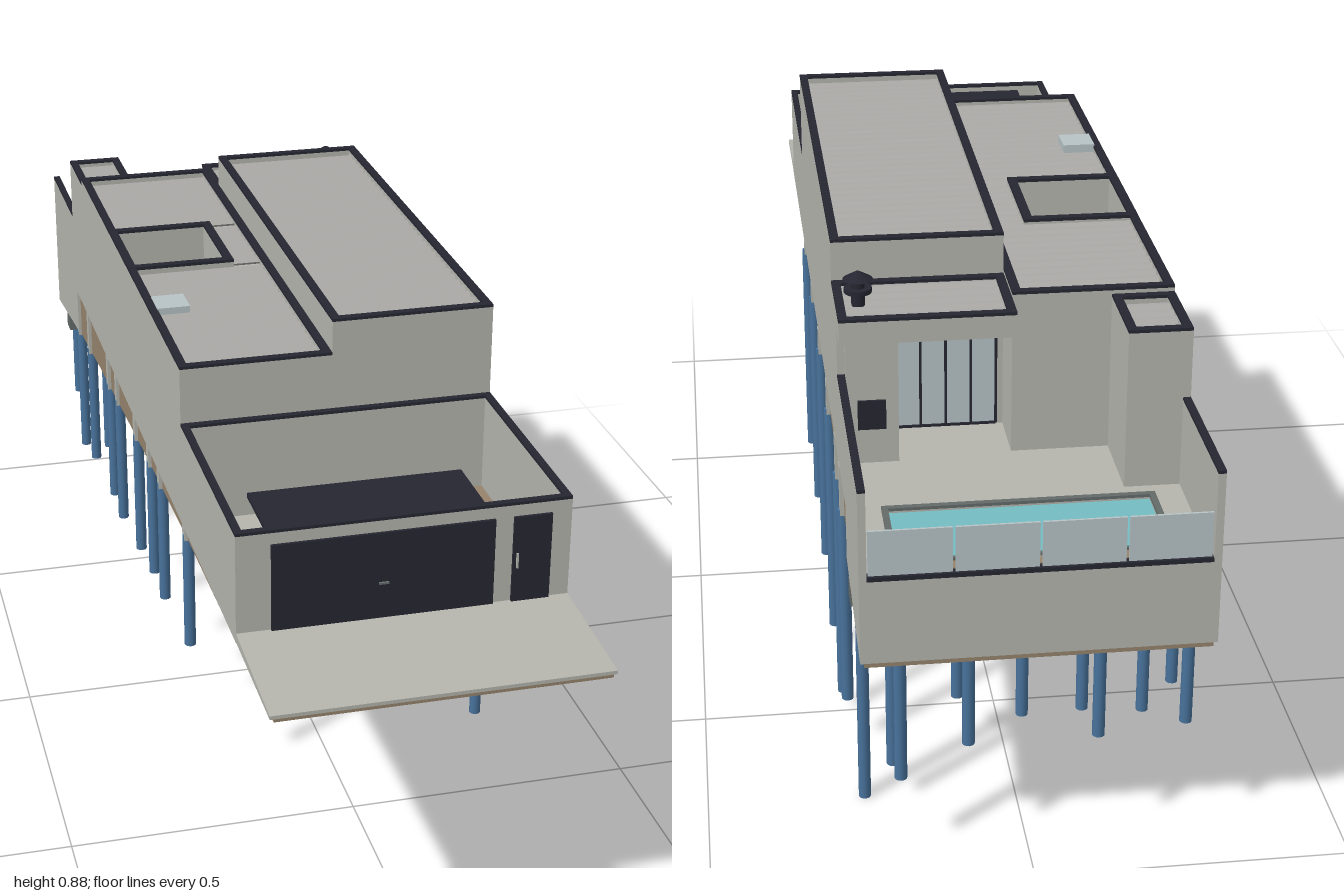
import * as THREE from 'three';

const mat = (name, color, side = THREE.FrontSide) => {
  const m = new THREE.MeshStandardMaterial({ color, side });
  m.name = name;
  return m;
};

export function createModel() {
  const model = new THREE.Group();
  model.name = 'hillsideHouse';
  const wall = mat('wallGrey', 0xb5b5ae);
  const dark = mat('darkTrim', 0x262632);
  const earth = mat('earthBrown', 0x96836c);
  const steel = mat('pileBlue', 0x48729b);
  const concrete = mat('capGrey', 0x636b69);
  const sheet = mat('roofSheet', 0xaaa9a6, THREE.DoubleSide);
  const water = mat('poolWater', 0x74bcc2);
  const glass = mat('paleGlass', 0xb6c3c6);

  const add = (name, geo, m) => {
    const mesh = new THREE.Mesh(geo, m);
    mesh.name = name;
    model.add(mesh);
    return mesh;
  };
  const box = (name, m, x0, x1, y0, y1, z0, z1) =>
    add(name, new THREE.BoxGeometry(x1 - x0, y1 - y0, z1 - z0)
      .translate((x0 + x1) / 2, (y0 + y1) / 2, (z0 + z1) / 2), m);

  const rectPath = (Kind, x0, x1, z0, z1) => new Kind([
    [x0, -z1], [x1, -z1], [x1, -z0], [x0, -z0]].map(p => new THREE.Vector2(...p)));

  // Upright block with a rectangular plan and rectangular holes
  const prism = (name, m, [x0, x1, z0, z1], y0, y1, holes = []) => {
    const s = rectPath(THREE.Shape, x0, x1, z0, z1);
    s.holes = holes.map(h => rectPath(THREE.Path, ...h));
    const g = new THREE.ExtrudeGeometry(s, { depth: y1 - y0, bevelEnabled: false });
    return add(name, g.rotateX(-Math.PI / 2).translate(0, y0, 0), m);
  };

  // Side profile in (z, y), extruded across the width
  const profile = (name, m, pts, x0, x1) => {
    const s = new THREE.Shape(pts.map(([z, y]) => new THREE.Vector2(-z, y)));
    const g = new THREE.ExtrudeGeometry(s, { depth: x1 - x0, bevelEnabled: false });
    return add(name, g.rotateY(Math.PI / 2).translate(x0, 0, 0), m);
  };

  // Parapet ring with a dark coping
  const parapet = (name, r, y0, y1, t = 0.014) => {
    const hole = [[r[0] + t, r[1] - t, r[2] + t, r[3] - t]];
    prism(name, wall, r, y0, y1 - 0.005, hole);
    prism(name + 'Coping', dark, r, y1 - 0.005, y1, hole);
  };

  // Ribbed metal roofing, ribs running across the width
  const ribbed = (name, x0, x1, z0, z1, y) => {
    const n = Math.round((z1 - z0) / 0.007);
    let g = new THREE.PlaneGeometry(x1 - x0, z1 - z0, 1, n).rotateX(-Math.PI / 2);
    const p = g.attributes.position;
    for (let i = 0; i < p.count; i++) p.setY(i, (Math.floor(i / 2) % 4) < 2 ? 0 : 0.006);
    g = g.toNonIndexed();
    g.computeVertexNormals();
    add(name, g.translate((x0 + x1) / 2, y, (z0 + z1) / 2), sheet);
  };

  const L = -0.27, R = 0.265, M = -0.012, F = 0.54;

  // Sloping ground under the house, and the driveway
  const slope = [[1, 0.52], [0.4, 0.506], [0, 0.486], [-0.5, 0.45], [-0.74, 0.428], [-0.998, 0.395]];
  profile('ground', earth, [[-0.998, 0.53], [0.78, 0.53], [1, 0.525], ...slope], L + 0.006, R - 0.006);
  profile('driveway', wall, [[0.78, 0.545], [0.78, 0.53], [1, 0.525], [1, 0.531]], L, R);
  prism('floorSlab', wall, [L, R, -0.74, 0.78], 0.528, F);

  // Lower left wing with its light court
  const court = [-0.255, -0.09, -0.28, -0.1];
  const courtRim = [L, -0.075, -0.295, -0.085];
  prism('leftWing', wall, [L, M, -0.605, 0.375], F, 0.8, [court]);
  parapet('leftParapet', [L, M, -0.605, 0.375], 0.8, 0.817);
  prism('courtRim', wall, courtRim, 0.8, 0.812, [court]);
  prism('courtCoping', dark, courtRim, 0.812, 0.8175, [court]);
  box('courtFloor', earth, court[0], court[1], F, F + 0.006, court[2], court[3]);
  ribbed('leftRoofBack', L + 0.014, M, -0.591, -0.295, 0.802);
  ribbed('leftRoofMiddle', -0.075, M, -0.295, -0.085, 0.802);
  ribbed('leftRoofFront', L + 0.014, M, -0.085, 0.361, 0.802);
  box('skylight', glass, -0.257, -0.2, 0.8, 0.82, 0.065, 0.125);

  // Taller right wing
  prism('rightWing', wall, [M, R, -0.5, 0.375], F, 0.858);
  parapet('rightParapet', [M, R, -0.5, 0.375], 0.858, 0.876);
  ribbed('rightRoof', M + 0.014, R - 0.014, -0.486, 0.361, 0.86);

  // Rear canopy, side wall, hearth column and chimney
  prism('canopy', wall, [M, R, -0.662, -0.5], 0.765, 0.794);
  parapet('canopyParapet', [M, R, -0.662, -0.5], 0.794, 0.807);
  ribbed('canopyRoof', M + 0.014, R - 0.014, -0.648, -0.514, 0.795);
  box('canopySideWall', wall, R - 0.012, R, F, 0.765, -0.605, -0.5);
  box('hearthColumn', wall, 0.17, R - 0.012, F, 0.765, -0.62, -0.54);
  box('hearthOpening', dark, 0.19, 0.235, 0.6, 0.65, -0.624, -0.62);
  const flue = (name, r0, r1, h, y) =>
    add(name, new THREE.CylinderGeometry(r0, r1, h, 16).translate(0.228, y, -0.578), dark);
  flue('chimneyPipe', 0.011, 0.011, 0.045, 0.815);
  flue('chimneyCollar', 0.022, 0.022, 0.008, 0.822);
  flue('chimneyCap', 0.004, 0.024, 0.012, 0.846);

  // Small rear store on the right-hand side of the terrace
  prism('rearStore', wall, [L, -0.17, -0.75, -0.605], F, 0.79);
  parapet('storeParapet', [L, -0.17, -0.75, -0.605], 0.79, 0.806);
  ribbed('storeRoof', L + 0.014, -0.184, -0.736, -0.619, 0.793);

  // Glazed doors: panes with dark uprights and rails
  const glazing = (name, x0, x1, y0, y1, z, dir, panes) => {
    const zs = (a, b) => (dir > 0 ? [z + a, z + b] : [z - b, z - a]);
    box(name, glass, x0, x1, y0, y1, ...zs(0, 0.004));
    for (let i = 0; i <= panes; i++) {
      const x = x0 + (x1 - x0) * i / panes;
      box(name + 'Upright', dark, x - 0.002, x + 0.002, y0, y1, ...zs(0, 0.007));
    }
    for (const y of [y0, y1]) box(name + 'Rail', dark, x0, x1, y - 0.002, y + 0.002, ...zs(0, 0.007));
  };
  glazing('terraceDoors', 0, 0.165, F + 0.004, 0.755, -0.5, -1, 4);
  glazing('entryDoors', 0.035, 0.21, F + 0.004, 0.695, 0.375, 1, 4);
  box('frontWindow', dark, -0.22, -0.11, 0.595, 0.685, 0.375, 0.381);

  // Walled front yard with garage door, gate, planters and carport cover
  parapet('yardWall', [L, R, 0.375, 0.78], F, 0.716, 0.012);
  box('garageDoor', dark, -0.215, 0.14, 0.545, 0.692, 0.78, 0.785);
  box('garageHandle', concrete, -0.046, -0.03, 0.605, 0.608, 0.785, 0.789);
  box('entryGate', dark, 0.17, 0.232, 0.545, 0.692, 0.78, 0.785);
  box('gateHandle', wall, 0.175, 0.178, 0.605, 0.63, 0.785, 0.789);
  box('carportCover', dark, -0.215, 0.135, 0.694, 0.702, 0.622, 0.768);
  for (const [a, b] of [[L + 0.012, -0.22], [0.21, R - 0.012]])
    box('planter', earth, a, b, F, F + 0.006, 0.3751, 0.695);

  // Rear terrace block with pool
  profile('terraceBlock', wall, [[-0.74, 0.53], [-0.74, 0.436], [-1, 0.403], [-1, 0.53]], L, R);
  const pool = [-0.203, 0.203, -0.945, -0.788];
  prism('terraceFloor', wall, [L, R, -1, -0.74], 0.53, F, [pool]);
  box('water', water, pool[0], pool[1], 0.53, 0.537, pool[2], pool[3]);
  prism('poolRim', concrete, [pool[0] - 0.01, pool[1] + 0.01, pool[2] - 0.006, pool[3] + 0.01], F, F + 0.005, [pool]);
  box('poolDeck', earth, -0.215, 0.21, F, F + 0.004, -0.978, -0.957);
  for (const [a, b, front] of [[L, L + 0.012, -0.75], [R - 0.012, R, -0.605]]) {
    box('terraceSideWall', wall, a, b, F, 0.685, -1, front);
    box('terraceSideCoping', dark, a, b, 0.685, 0.69, -1, front);
  }
  box('rearCoping', dark, L + 0.012, R - 0.012, F, F + 0.007, -1, -0.986);
  for (let i = 0; i < 4; i++) {
    const w = (R - L - 0.024) / 4, x = L + 0.012 + i * w;
    box('railGlass', glass, x + 0.002, x + w - 0.002, F + 0.007, 0.62, -0.995, -0.991);
  }

  // Height of the ground's underside at a given z
  const under = z => {
    const i = Math.max(1, slope.findIndex(p => p[0] <= z));
    const [a, b] = [slope[i - 1], slope[i]];
    return a[1] + (b[1] - a[1]) * (z - a[0]) / (b[0] - a[0]);
  };
  const pile = (x, z, y0, y1) =>
    add('pile', new THREE.CylinderGeometry(0.01, 0.01, y1 - y0, 12).translate(x, (y0 + y1) / 2, z), steel);

  // Rows of piles along both long sides, with piers set in the ground edge
  const rows = [
    [0.26, [[0.38, 0.085], [0.16, 0.075], [-0.055, 0.065], [-0.275, 0.04], [-0.49, 0.035], [-0.6, 0.09]]],
    [-0.262, [[0.38, 0.3], [0.155, 0.27], [0.055, 0.27], [-0.08, 0.25], [-0.275, 0.22], [-0.37, 0.225], [-0.6, 0.2], [-0.735, 0.17]]],
  ];
  for (const [x, list] of rows) for (const [z, y] of list) {
    pile(x, z, y, under(z) + 0.008);
    box('pier', wall, x - 0.008, x + 0.006, under(z), 0.53, z - 0.01, z + 0.01);
  }

  // Capped piles and ground beams below the pool
  const poolPiles = [
    [-0.207, -0.77, 0.142], [-0.108, -0.77, 0.152], [-0.01, -0.77, 0.148], [0.095, -0.77, 0.19],
    [0.2, -0.77, 0.07], [0.245, -0.755, 0],
    [-0.245, -0.92, 0.215], [-0.108, -0.92, 0.2], [0.095, -0.92, 0.2], [0.2, -0.92, 0.145],
  ];
  for (const [x, z, y] of poolPiles) {
    pile(x, z, y, 0.375);
    box('pileCap', concrete, x - 0.018, x + 0.018, 0.368, 0.402, z - 0.018, z + 0.018);
    box('capStub', wall, x - 0.009, x + 0.009, 0.402, under(z) + 0.01, z - 0.009, z + 0.009);
  }
  for (const z of [-0.77, -0.92]) box('crossBeam', wall, -0.245, 0.245, 0.383, 0.399, z - 0.007, z + 0.007);
  for (const x of [-0.207, -0.108, 0.095, 0.2]) box('longBeam', wall, x - 0.007, x + 0.007, 0.384, 0.398, -0.92, -0.77);

  return model;
}
